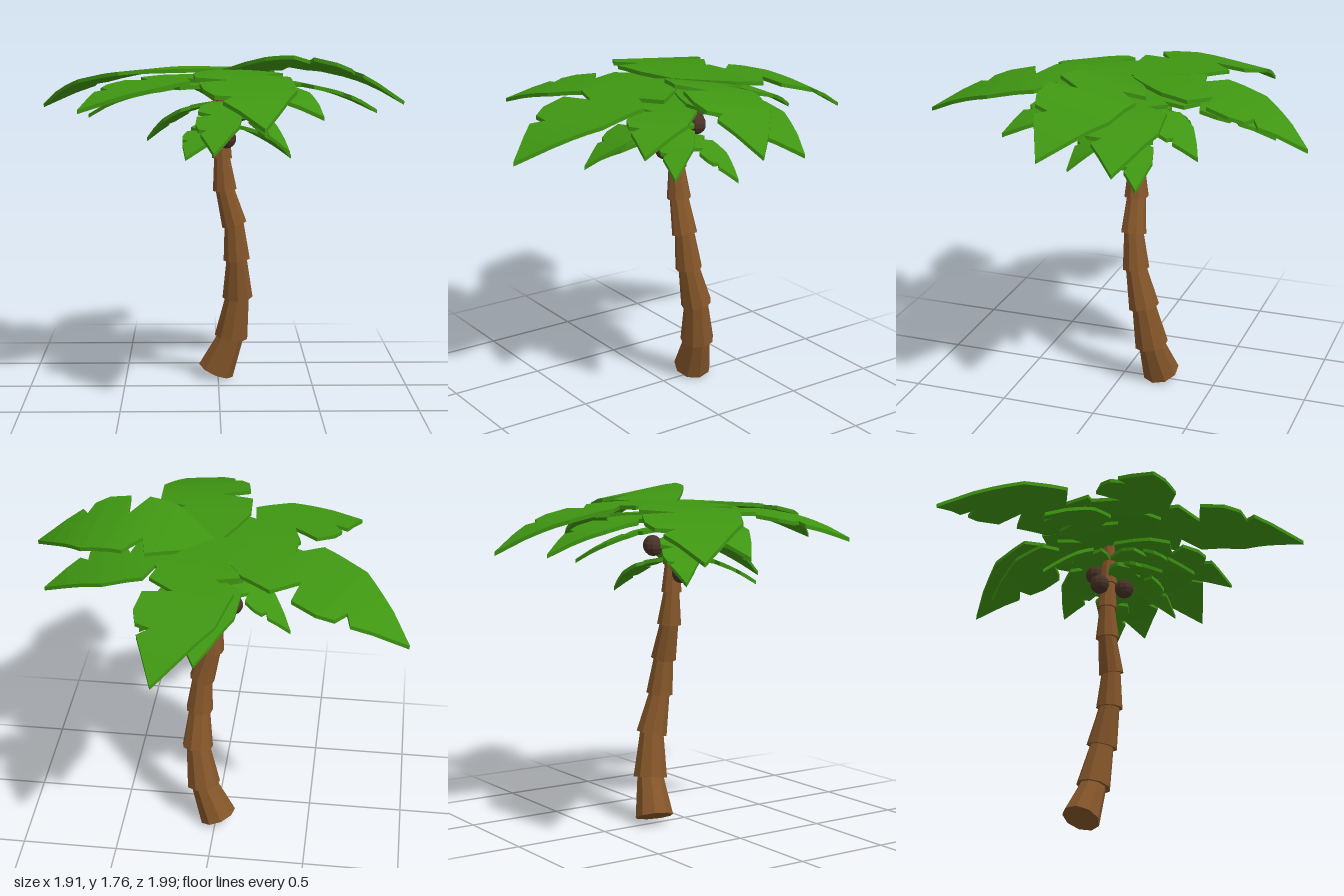
import * as THREE from 'three';

const V = (x, y, z) => new THREE.Vector3(x, y, z);
const paint = (color) => new THREE.MeshStandardMaterial({ color, flatShading: true, roughness: 1 });
const bark = paint(0x85562a), leaf = paint(0x3f9612), shell = paint(0x4a3328);

// Frond edges as [distance along, half width] for a frond of length 1; dips are tears
const rightEdge = [[0, 0.02], [0.15, 0.125], [0.264, 0.188], [0.42, 0.206], [0.49, 0.056], [0.527, 0.205],
  [0.65, 0.207], [0.724, 0.172], [0.738, 0.088], [0.785, 0.144], [1, 0.002]];
const leftEdge = [[0, 0.02], [0.149, 0.146], [0.307, 0.234], [0.354, 0.12], [0.432, 0.24],
  [0.667, 0.219], [0.865, 0.1], [1, 0.002]];
const stations = [...new Set([...rightEdge, ...leftEdge].map((p) => p[0]))].sort((a, b) => a - b);

function widthAt(edge, u) {
  let i = 1;
  while (i < edge.length - 1 && edge[i][0] < u) i++;
  const [a, b] = [edge[i - 1], edge[i]];
  return a[1] + (b[1] - a[1]) * (u - a[0]) / (b[0] - a[0]);
}

// Thin slab lofted along an arc that falls from the crown to the tip
function frondGeometry(base, tip, { rise = 0, tilt = 0, fall = 3, thick = 0.02 }) {
  const dx = tip.x - base.x, dz = tip.z - base.z;
  const pos = [], index = [];
  for (const u of stations) {
    const y = base.y + (tip.y - base.y) * u ** fall + rise * Math.sin(Math.PI * u);
    const corner = (v, drop) =>
      pos.push(base.x + dx * u - dz * v, y + tilt * v - drop, base.z + dz * u + dx * v);
    const r = widthAt(rightEdge, u), l = -widthAt(leftEdge, u);
    corner(r, 0);
    corner(l, 0);
    corner(l, thick);
    corner(r, thick);
  }
  const n = stations.length;
  for (let i = 0; i < n - 1; i++) {
    for (let k = 0; k < 4; k++) {
      const a = i * 4 + k, b = i * 4 + (k + 1) % 4;
      index.push(a, a + 4, b + 4, a, b + 4, b);
    }
  }
  const e = (n - 1) * 4;
  index.push(0, 1, 2, 0, 2, 3, e, e + 2, e + 1, e, e + 3, e + 2);
  const g = new THREE.BufferGeometry();
  g.setAttribute('position', new THREE.Float32BufferAttribute(pos, 3));
  g.setIndex(index);
  g.computeVertexNormals();
  return g;
}

export function createModel() {
  const model = new THREE.Group();
  model.name = 'palmTree';
  const add = (parent, name, geometry, material) => {
    const mesh = new THREE.Mesh(geometry, material);
    mesh.name = name;
    parent.add(mesh);
    return mesh;
  };
  const group = (name) => {
    const g = new THREE.Group();
    g.name = name;
    model.add(g);
    return g;
  };

  // Trunk: flared collars stacked along a leaning line [x, y, z, lower radius]
  const trunk = group('trunk');
  const joints = [[-0.01, 0.05, -0.2, 0.1], [0.07, 0.243, -0.172, 0.09], [0.103, 0.47, -0.14, 0.082],
    [0.097, 0.68, -0.094, 0.071], [0.083, 0.87, -0.077, 0.067], [0.033, 1.055, -0.075, 0.064],
    [0.018, 1.225, -0.07, 0.054], [0.02, 1.37, -0.065, 0.049], [0.02, 1.6, -0.06, 0.04]];
  for (let i = 0; i < joints.length - 1; i++) {
    const [a, b] = [V(...joints[i]), V(...joints[i + 1])];
    const axis = b.clone().sub(a);
    const g = new THREE.CylinderGeometry(joints[i + 1][3] * 0.76, joints[i][3], axis.length() + 0.01, 9);
    const seg = add(trunk, 'trunkSegment', g, bark);
    seg.position.copy(a).lerp(b, 0.5);
    seg.quaternion.setFromUnitVectors(V(0, 1, 0), axis.normalize());
  }

  // Coconuts hanging below the crown
  const coconuts = group('coconuts');
  for (const p of [[0.04, 1.33, 0.02], [-0.075, 1.325, -0.07], [0.12, 1.46, -0.12], [0.05, 1.46, -0.16]]) {
    add(coconuts, 'coconut', new THREE.SphereGeometry(0.052, 10, 7), shell).position.set(...p);
  }

  // Fronds in three whorls: each tip with the height of its root
  const whorl = (name, list) => {
    const g = group(name);
    for (const [tip, y, options = {}] of list) {
      add(g, 'frond', frondGeometry(V(0.02, y, -0.06), V(...tip), options), leaf);
    }
  };
  whorl('upperFronds', [
    [[0.2, 1.47, 0.99], 1.685],
    [[0.95, 1.53, 0.1], 1.68, { rise: 0.065, tilt: 0.17 }],
    [[0.2, 1.46, -1], 1.69],
    [[-0.96, 1.47, -0.55], 1.69],
    [[-0.69, 1.52, 0.53], 1.66],
  ]);
  whorl('middleFronds', [
    [[0.85, 1.46, -0.23], 1.63],
    [[0.51, 1.48, 0.46], 1.62],
    [[-0.68, 1.45, -0.08], 1.61],
    [[0.03, 1.45, -0.8], 1.62],
    [[0.3, 1.39, -0.48], 1.56, { fall: 2 }],
  ]);
  whorl('lowerFronds', [
    [[-0.03, 1.3, 0.46], 1.52, { fall: 2 }],
    [[-0.38, 1.31, -0.25], 1.52, { fall: 2 }],
    [[0.36, 1.28, 0.18], 1.5, { fall: 2 }],
    [[0.39, 1.22, -0.19], 1.4, { fall: 2 }],
    [[-0.17, 1.27, 0.34], 1.42, { fall: 2 }],
  ]);
  return model;
}
